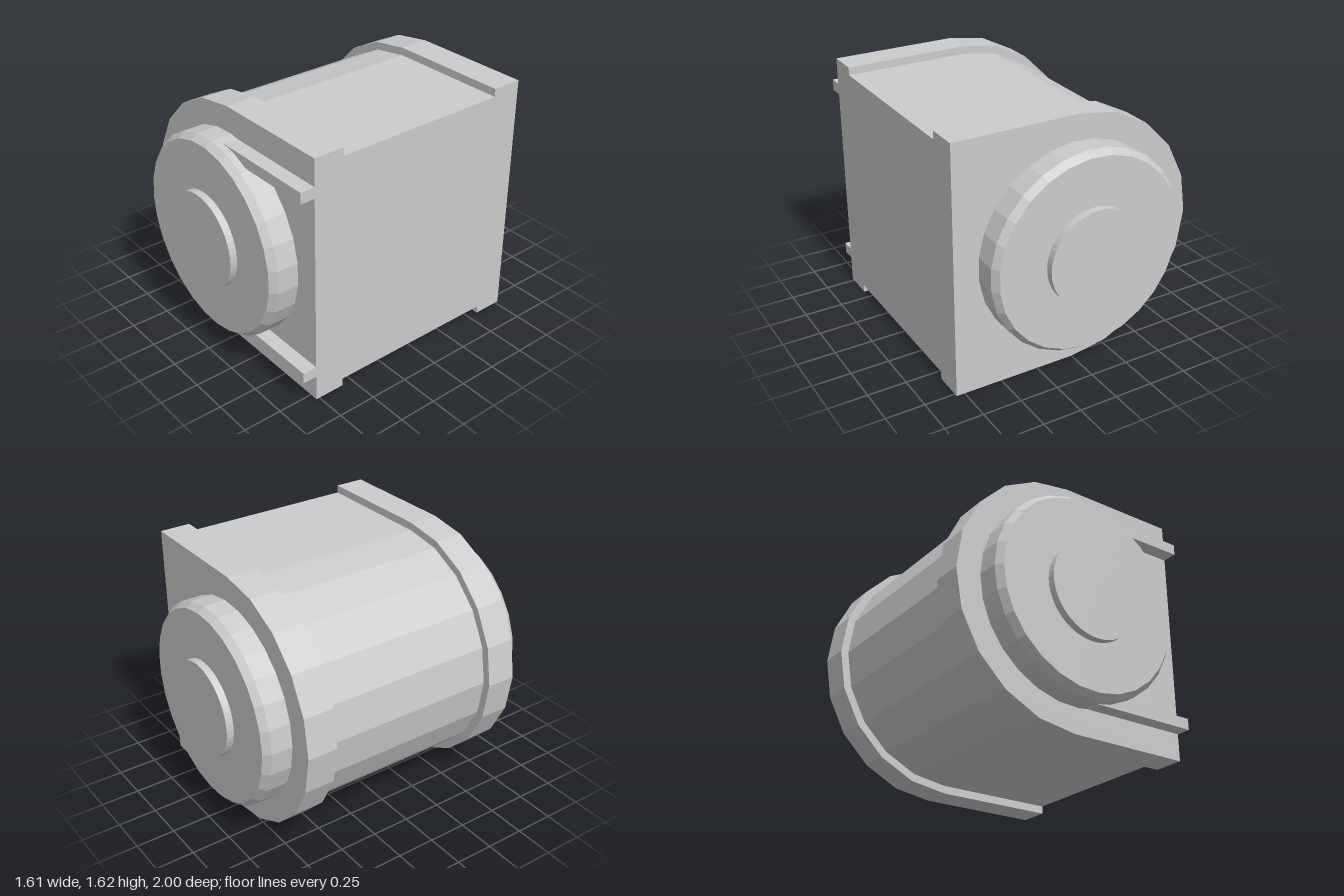
import * as THREE from 'three';

const CY = 0.808; // height of the main axis
const FLAT = 0.803; // x of the flat mounting side

export function createModel() {
  const group = new THREE.Group();
  const material = new THREE.MeshStandardMaterial({ color: 0xcccccc, flatShading: true });

  const add = (name, geometry, x = 0, y = CY, z = 0) => {
    const mesh = new THREE.Mesh(geometry, material);
    mesh.name = name;
    mesh.position.set(x, y, z);
    group.add(mesh);
  };

  // D-shaped slab: flat on +x, ten-sided half round on -x
  const dSlab = (radius, depth) => {
    const shape = new THREE.Shape();
    shape.moveTo(FLAT, -radius);
    shape.lineTo(FLAT, radius);
    for (let i = 0; i <= 10; i++) {
      const a = Math.PI / 2 + (i / 10) * Math.PI;
      shape.lineTo(radius * Math.cos(a), radius * Math.sin(a));
    }
    shape.closePath();
    return new THREE.ExtrudeGeometry(shape, { depth, bevelEnabled: false });
  };

  // Turned part along z, facing the given end
  const turned = (profile, segments, side) =>
    new THREE.LatheGeometry(
      profile.map(([r, z]) => new THREE.Vector2(r, z)), segments, -Math.PI / 2
    ).rotateX(side * Math.PI / 2);

  // Housing between the two flanges
  add('housing', dSlab(0.757, 1.15), 0, CY, -0.575);

  for (const side of [1, -1]) {
    const end = side > 0 ? 'front' : 'back';
    add(end + 'Flange', dSlab(CY, 0.197), 0, CY, side > 0 ? 0.575 : -0.772);
    // Chamfered end cap
    add(end + 'Cap', turned([[0, 0.76], [0.647, 0.76], [0.647, 0.91], [0.614, 0.953], [0, 0.953]], 27, side));
    // Central hub
    add(end + 'Hub', turned([[0, 0.94], [0.306, 0.94], [0.306, 1], [0, 1]], 48, side));
  }

  // Two rails on the front flange, running from the cap to the flat side
  for (const side of [1, -1]) {
    add(side > 0 ? 'upperRail' : 'lowerRail',
      new THREE.BoxGeometry(FLAT - 0.1, 0.07, 0.105), (FLAT + 0.1) / 2, CY + side * 0.602, 0.8125);
  }

  return group;
}
